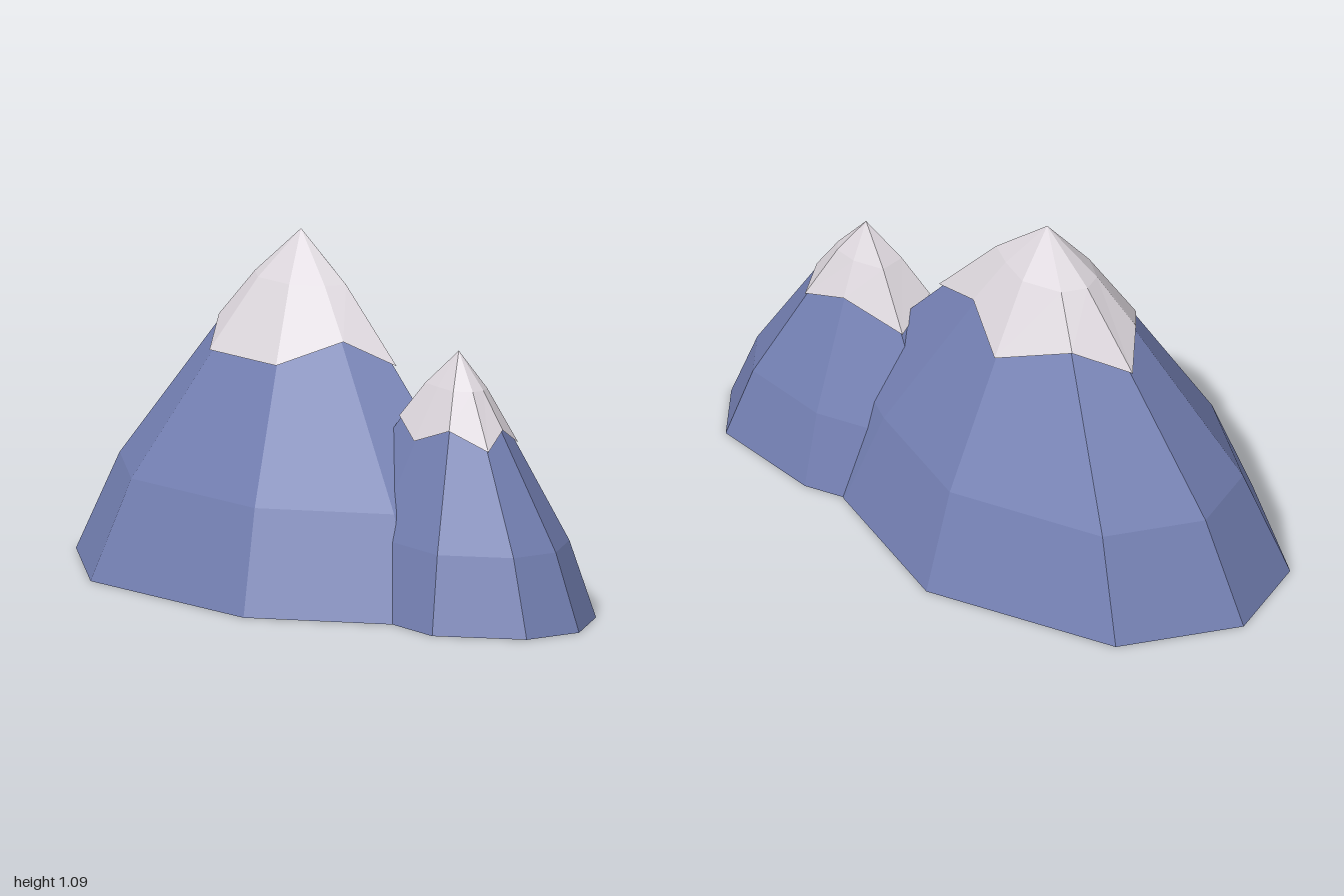
import * as THREE from 'three';

const rock = new THREE.MeshStandardMaterial({ color: 0x7480b3, flatShading: true, side: THREE.DoubleSide });
rock.name = 'slate blue rock';
const snow = new THREE.MeshStandardMaterial({ color: 0xddd7dd, flatShading: true, side: THREE.DoubleSide });
snow.name = 'pale snow';

// Joins rings of points, from low to high, and closes them at a tip.
function shell(rings, tipY) {
  const n = rings[0].length;
  const pos = [0, tipY, 0];
  rings.forEach(ring => ring.forEach(p => pos.push(...p)));
  const at = (r, i) => 1 + r * n + (i % n);
  const index = [];
  rings.forEach((ring, r) => {
    for (let i = 0; i < n; i++) {
      if (r === rings.length - 1) index.push(at(r, i), 0, at(r, i + 1));
      else index.push(at(r, i), at(r + 1, i), at(r, i + 1), at(r, i + 1), at(r + 1, i), at(r + 1, i + 1));
    }
  });
  const indexed = new THREE.BufferGeometry();
  indexed.setAttribute('position', new THREE.Float32BufferAttribute(pos, 3));
  indexed.setIndex(index);
  const geo = indexed.toNonIndexed();
  geo.computeVertexNormals();
  return geo;
}

// A peak: the outline of its foot shrinks towards the tip; the snow has a zigzag hem.
function makePeak(name, x, height, foot, firstLow) {
  const ring = (scale, y) => foot.map(([px, pz]) => [px * scale, y * height, pz * scale]);
  const hemLow = ring(0.435, 0.657);
  const hemHigh = ring(0.365, 0.725);
  const hem = foot.map((_, i) => ((i + firstLow) % 2 === 0 ? hemLow[i] : hemHigh[i]));

  const body = new THREE.Mesh(
    shell([ring(1, 0), ring(0.806, 0.292), ring(0.345, 0.727)], height * 0.97), rock);
  body.name = 'rockSlope';
  const cap = new THREE.Mesh(shell([hem, ring(0.205, 0.863)], height), snow);
  cap.name = 'snowCap';

  const peak = new THREE.Group();
  peak.name = name;
  peak.position.x = x;
  peak.add(body, cap);
  return peak;
}

export function createModel() {
  const model = new THREE.Group();
  model.name = 'mountains';
  // Foot outlines as x, z around each tip
  const largeFoot = [
    [0.30, 0.54], [-0.40, 0.51], [-0.77, 0.21], [-0.83, -0.11], [-0.58, -0.43],
    [0.06, -0.54], [0.55, -0.30], [0.91, -0.05], [0.75, 0.24],
  ];
  const smallFoot = [
    [0.44, 0.14], [0.20, 0.31], [-0.19, 0.255], [-0.54, 0.17],
    [-0.49, -0.23], [0, -0.315], [0.36, -0.235], [0.48, -0.045],
  ];
  // The large hem has two low points side by side at the front
  const large = makePeak('largePeak', -0.17, 1.09, [...largeFoot.slice(1), largeFoot[0]], 0);
  const small = makePeak('smallPeak', 0.52, 0.815, smallFoot, 0);
  model.add(large, small);
  return model;
}
